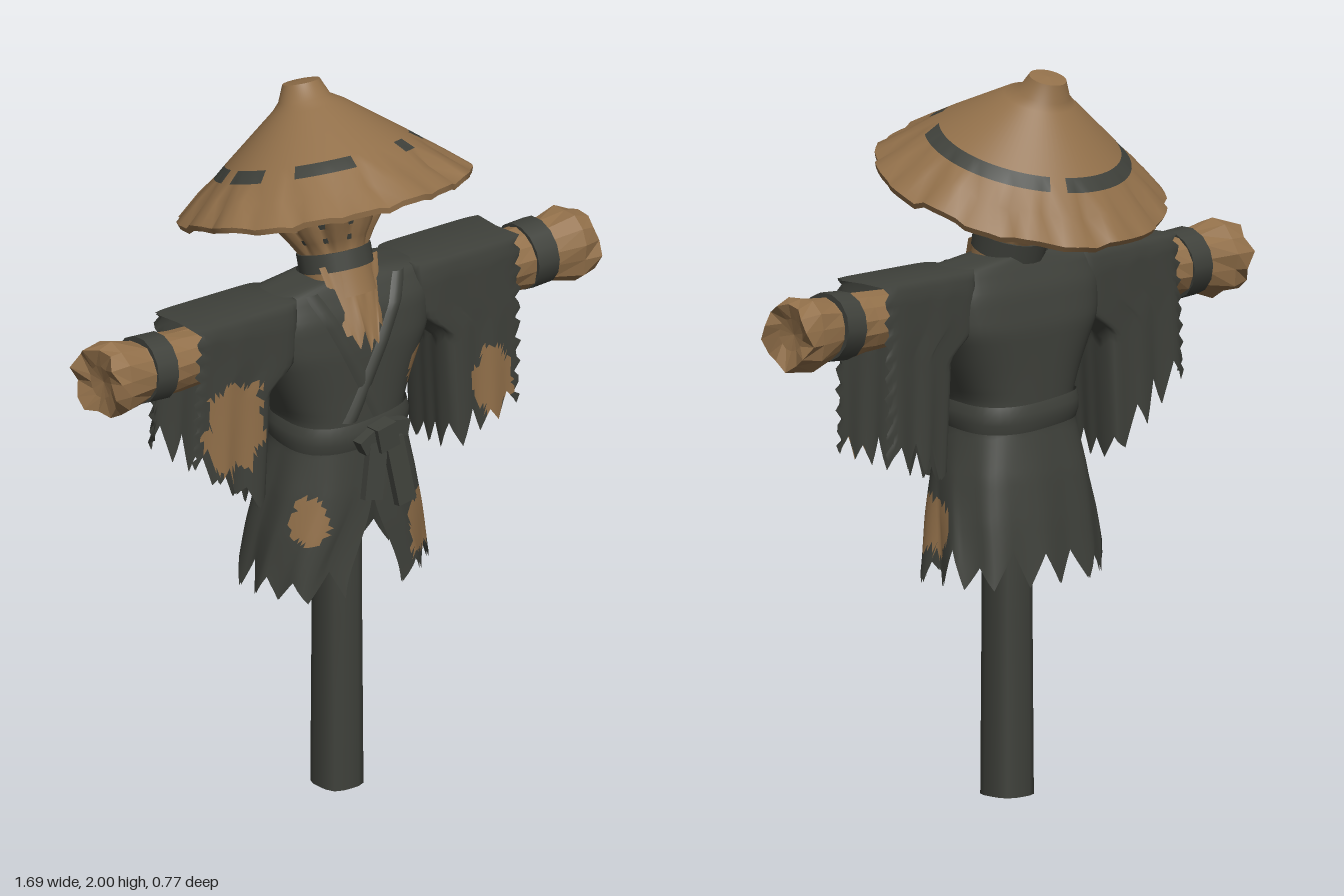
import * as THREE from 'three';

const cloth = new THREE.MeshStandardMaterial({ name: 'dark cloth', color: 0x3f413b, side: THREE.DoubleSide });
const straw = new THREE.MeshStandardMaterial({ name: 'straw', color: 0x92704a, side: THREE.DoubleSide });
const MATS = [cloth, straw];
const { sin, cos, abs, floor, hypot, PI } = Math;
const { lerp, smoothstep } = THREE.MathUtils;

const hash = n => { const s = sin(n * 127.1 + 11.7) * 43758.5453; return s - floor(s); };
// Ragged edge: 0 at the tooth tips, up to 1 in the notches
const jag = (t, seed) => (1 - abs((t - floor(t)) - 0.5) * 2) * (0.35 + 0.65 * hash(floor(t) + seed));
const blob = (p, cx, cy, rx, ry) =>
  hypot((p.x - cx) / rx, (p.y - cy) / ry) < 1 + 0.12 * sin(p.x * 70 + p.y * 45) + 0.05 * sin(p.y * 130);

// Grid surface from fn(u, v, i, j) -> [x, y, z]; paint(p) picks a material per triangle
function surface(name, nu, nv, fn, { wrap = true, paint = () => false, flat = false } = {}) {
  const cols = wrap ? nu : nu + 1, pos = [], lists = [[], []];
  for (let j = 0; j <= nv; j++)
    for (let i = 0; i < cols; i++) pos.push(...fn(i / nu, j / nv, i, j));
  const at = k => new THREE.Vector3(pos[3 * k], pos[3 * k + 1], pos[3 * k + 2]);
  for (let j = 0; j < nv; j++)
    for (let i = 0; i < nu; i++) {
      const k = (i + 1) % cols, a = j * cols + i, b = j * cols + k;
      for (const t of [[a, a + cols, b], [b, a + cols, b + cols]]) {
        const c = at(t[0]).add(at(t[1])).add(at(t[2])).divideScalar(3);
        lists[paint(c) ? 1 : 0].push(...t);
      }
    }
  let g = new THREE.BufferGeometry();
  g.setAttribute('position', new THREE.Float32BufferAttribute(pos, 3));
  g.setIndex([...lists[0], ...lists[1]]);
  g.addGroup(0, lists[0].length, 0);
  g.addGroup(lists[0].length, lists[1].length, 1);
  if (flat) {
    const groups = g.groups;
    g = g.toNonIndexed();
    g.groups = groups;
  }
  g.computeVertexNormals();
  const m = new THREE.Mesh(g, MATS);
  m.name = name;
  return m;
}

// Rounded loop: angle 0 points to the front, n sets squareness
function loop(a, n) {
  const s = sin(a), c = cos(a), k = (abs(s) ** n + abs(c) ** n) ** (1 / n);
  return [s / k, c / k];
}

// Robe profile: height, half width, front z, back z; squarer towards the shoulders
const ROBE = [[1.49, 0.1, 0.11, -0.04], [1.47, 0.26, 0.125, -0.05], [1.4, 0.275, 0.16, -0.08], [1.3, 0.265, 0.175, -0.1],
  [1.2, 0.225, 0.18, -0.1], [1.1, 0.18, 0.185, -0.1], [1.03, 0.18, 0.185, -0.1], [0.9, 0.212, 0.195, -0.125],
  [0.78, 0.235, 0.2, -0.14], [0.6, 0.262, 0.205, -0.158]];
function robeAt(y) {
  let i = 0;
  while (i < ROBE.length - 2 && y < ROBE[i + 1][0]) i++;
  const A = ROBE[i], B = ROBE[i + 1], t = THREE.MathUtils.clamp((A[0] - y) / (A[0] - B[0]), 0, 1);
  const [w, f, b] = [1, 2, 3].map(k => lerp(A[k], B[k], t));
  return { w, cz: (f + b) / 2, dz: (f - b) / 2, n: lerp(2.6, 3.8, smoothstep(y, 1.15, 1.4)) };
}
const robePoint = (a, y, off = 0) => {
  const r = robeAt(y), [x, z] = loop(a, r.n);
  return [x * (r.w + off), y, r.cz + z * (r.dz + off)];
};
const frontZ = (x, y) => {
  const r = robeAt(y);
  return r.cz + r.dz * Math.max(0, 1 - abs(x / r.w) ** r.n) ** (1 / r.n);
};

// Skirt layer with a front slit and ragged hem
const skirt = (name, off, paint) => surface(name, 84, 24, (u, v) => {
  const y = lerp(1.06, 0.605 + 0.11 * jag(u * 14, 5), v);
  const slit = 0.36 * smoothstep(v, 0.3, 1);
  const p = robePoint(lerp(slit, 2 * PI - slit, u), y, off);
  const fold = 1 + 0.035 * v * sin(u * 2 * PI * 9);
  return [p[0] * fold, y, p[2] * fold];
}, { wrap: false, paint });

function robe() {
  const g = new THREE.Group();
  g.name = 'robe';
  g.add(surface('torso', 64, 23, (u, v) => robePoint(u * 2 * PI, 1.49 - 0.46 * v),
    { paint: p => p.z > 0.085 && blob(p, 0.197, 1.19, 0.036, 0.062) }));
  g.add(skirt('skirt', 0.006, p => p.z > 0.02 && (blob(p, -0.18, 0.83, 0.038, 0.065) || blob(p, 0.195, 0.74, 0.07, 0.09))));
  g.add(skirt('skirtLining', 0.001));
  // Belt, knot and hanging ends
  g.add(surface('belt', 48, 3, (u, v) => robePoint(u * 2 * PI, 1.1 - 0.075 * v + 0.008 * sin(u * 4 * PI), 0.007 + 0.009 * sin(v * PI))));
  const lump = (name, w, h, d, x, y, z, rz, rx = 0) => {
    const m = new THREE.Mesh(new THREE.BoxGeometry(w, h, d), cloth);
    m.name = name;
    m.position.set(x, y, z);
    m.rotation.set(rx, 0, rz);
    g.add(m);
  };
  lump('beltKnot', 0.065, 0.07, 0.055, 0.02, 1.055, 0.217, 0.2);
  lump('beltLoopRight', 0.07, 0.045, 0.035, -0.025, 1.05, 0.212, 0.5);
  lump('beltLoopLeft', 0.07, 0.045, 0.035, 0.07, 1.065, 0.208, -0.2);
  lump('beltEndRight', 0.06, 0.16, 0.022, -0.018, 0.965, 0.228, -0.22, -0.12);
  lump('beltEndLeft', 0.06, 0.19, 0.022, 0.06, 0.95, 0.236, 0.16, -0.1);
  // Crossed lapels
  for (const [name, s, lift] of [['lapelRight', -1, 0.006], ['lapelLeft', 1, 0.009]])
    g.add(surface(name, 4, 16, (u, v) => {
      const y = lerp(1.472, 1.1, v), x = s * 0.15 - s * 0.2 * v - 0.015 * v + (u - 0.5) * 0.045;
      return [x, y, frontZ(x, y) + lift * sin(u * PI)];
    }, { wrap: false }));
  // Straw showing in the neck opening
  g.add(surface('chestStraw', 24, 10, (u, v) => {
    const k = u * 2 - 1, y = lerp(1.53, 1.3 + 0.05 * k * k + 0.06 * jag(u * 4, 3), v);
    const x = -0.01 * v + k * lerp(0.1, 0.062, v);
    return [x, y, lerp(0.118, 0.203, v) - 0.03 * k * k + 0.004 * cos(u * 8 * PI)];
  }, { wrap: false, paint: () => true }));
  return g;
}

// Wide hanging sleeve layer, open at the bottom and at the wrist; s = side
function sleeve(name, s, inset, paint) {
  const hem = x => s < 0 ? 0.9 + (x - 0.33) * 0.75 : 0.9 + (x - 0.3) * 0.38;
  return surface(name, 60, 26, (u, v, i, j) => {
    const [lx, lz] = loop(lerp(0.75, 2.25, u) * PI, 9), t = Math.max(0, (j - 1) / 25);
    const outer = 0.56 + (s < 0 ? 0.015 : -0.01) * t;
    const inner = lerp(0.2, 0.285, smoothstep(t, 0.25, 0.45)) + 0.03 * t + inset;
    const shrink = j === 0 ? 0 : 1 - 0.08 * Math.max(0, 1 - t * 12);
    const ragged = abs(u - 0.5) > 0.49 ? 0.012 * sin(j * 2.3) : 0;
    const x = (outer + inner) / 2 + lx * (outer - inner) / 2 + ragged;
    const y = lerp(1.474 - inset, hem(x) + 0.1 * jag(u * 10, s * 7 + 20), t);
    const z = 0.045 + lz * (0.104 - inset) * shrink * (1 + 0.05 * t * sin(u * 3 * PI * 4));
    return [s * x, y, z];
  }, { wrap: false, paint });
}

// Straw arm with a bundled, broken end
const ARM = [[0.3, 0.07], [0.56, 0.084], [0.62, 0.086], [0.69, 0.084], [0.78, 0.103], [0.85, 0.09], [0.815, 0.045], [0.805, 0]];
function arm(s) {
  const g = new THREE.Group();
  g.name = s > 0 ? 'leftArm' : 'rightArm';
  g.add(surface('strawArm', 14, ARM.length - 1, (u, v, i, j) => {
    const [x, r] = ARM[j], rough = j > 3 && j < 6 ? 0.26 : 0.1;
    const k = r * (1 + rough * (hash(i * 3 + j + s * 31) - 0.5)), a = u * 2 * PI;
    const tip = j === 5 ? -0.035 * hash(i * 5 + s) : 0;
    return [s * (x + tip), 1.365 + k * cos(a), 0.047 + k * sin(a)];
  }, { paint: () => true, flat: true }));
  const band = new THREE.Mesh(new THREE.CylinderGeometry(0.094, 0.094, 0.07, 14), cloth);
  band.name = 'wristBand';
  band.rotation.z = PI / 2 + s * 0.06;
  band.position.set(s * 0.655, 1.368, 0.047);
  const patch = p => p.z > 0.06 && (s < 0
    ? p.y < 1.3 && blob(p, -0.432, 1.17, 0.1, 0.135)
    : blob(p, 0.455, 1.085, 0.07, 0.1));
  g.add(band, sleeve('sleeve', s, 0, patch), sleeve('sleeveLining', s, 0.004));
  return g;
}

// Tied straw neck with broad strands flaring out above the rope
function head() {
  const g = new THREE.Group();
  g.name = 'head';
  const rows = [[-0.1, 0.1], [-0.02, 0.093], [0.02, 0.094], [0.06, 0.113], [0.095, 0.138]];
  g.add(surface('neckStraw', 60, 5, (u, v, i, j) => {
    const strand = i % 6 < 4, n = floor(i / 6), a = u * 2 * PI;
    const [y, r] = rows[j] || (strand ? [0.148 + 0.025 * hash(n), 0.178] : [0.1, 0.135]);
    const k = r + (j > 2 ? (strand ? 0.005 : -0.01) : 0);
    return [k * sin(a), y, k * cos(a)];
  }, { paint: () => true }));
  const rope = new THREE.Mesh(new THREE.CylinderGeometry(0.102, 0.102, 0.052, 20), cloth);
  rope.name = 'neckRope';
  const fill = new THREE.Mesh(new THREE.CylinderGeometry(0.135, 0.09, 0.08, 20), cloth);
  fill.name = 'headFilling';
  fill.position.y = 0.072;
  g.add(rope, fill);
  g.position.set(0, 1.52, 0.035);
  g.rotation.x = -0.28;
  return g;
}

// Tilted conical hat: radius and height, repeated rows make sharp edges
const HAT = [[0, 0.318], [0.052, 0.314], [0.052, 0.314], [0.072, 0.268], [0.1, 0.248], [0.255, 0.127], [0.29, 0.098],
  [0.34, 0.056], [0.406, 0], [0.406, 0], [0.4, -0.016], [0.4, -0.016], [0.25, 0.04], [0.25, 0.04], [0, 0.12]];
// Painted arcs in degrees, from the left side towards the front
const BAND = [[-61, 36], [194, 291], [160, 186], [104, 141], [59, 71]];
function hat() {
  const m = surface('hat', 72, HAT.length - 1, (u, v, i, j) => {
    const [r, y] = HAT[j], n = floor(i / 4), rim = j > 6 && j < 12, crease = rim && i % 4 === 0;
    const k = r + (rim ? 0.016 * (hash(n) - 0.5) : 0) - (crease ? 0.01 : 0);
    const dy = (rim ? 0.018 * (hash(n + 40) - 0.5) : 0) - (crease ? 0.008 : 0);
    return [k * cos(u * 2 * PI), y + dy, 0.97 * k * sin(u * 2 * PI) - (j < 4 ? 0.014 : 0)];
  }, {
    paint: p => {
      const r = hypot(p.x, p.z / 0.97), a = Math.atan2(p.z, p.x) * 180 / PI;
      const band = r > 0.255 && r < 0.29 && p.y > 0.085
        && BAND.some(([lo, hi]) => (a > lo && a < hi) || (a + 360 > lo && a + 360 < hi));
      return !(band || (r < 0.2 && p.y < 0.13));
    }
  });
  m.position.set(0, 1.687, -0.006);
  m.rotation.x = -0.297;
  return m;
}

export function createModel() {
  const model = new THREE.Group();
  model.name = 'scarecrow';
  // Squared post, repeated rows keep its ends sharp
  const POST = [[1.1, 0], [1.1, 0.056], [0.5, 0.058], [0, 0.061], [0, 0.061], [0, 0]];
  const pole = surface('pole', 16, POST.length - 1, (u, v, i, j) => {
    const [x, z] = loop(u * 2 * PI, 3.5), [y, r] = POST[j];
    return [-0.005 + x * r, y, 0.05 + z * r * 1.04];
  });
  model.add(pole, robe(), arm(1), arm(-1), head(), hat());
  return model;
}
